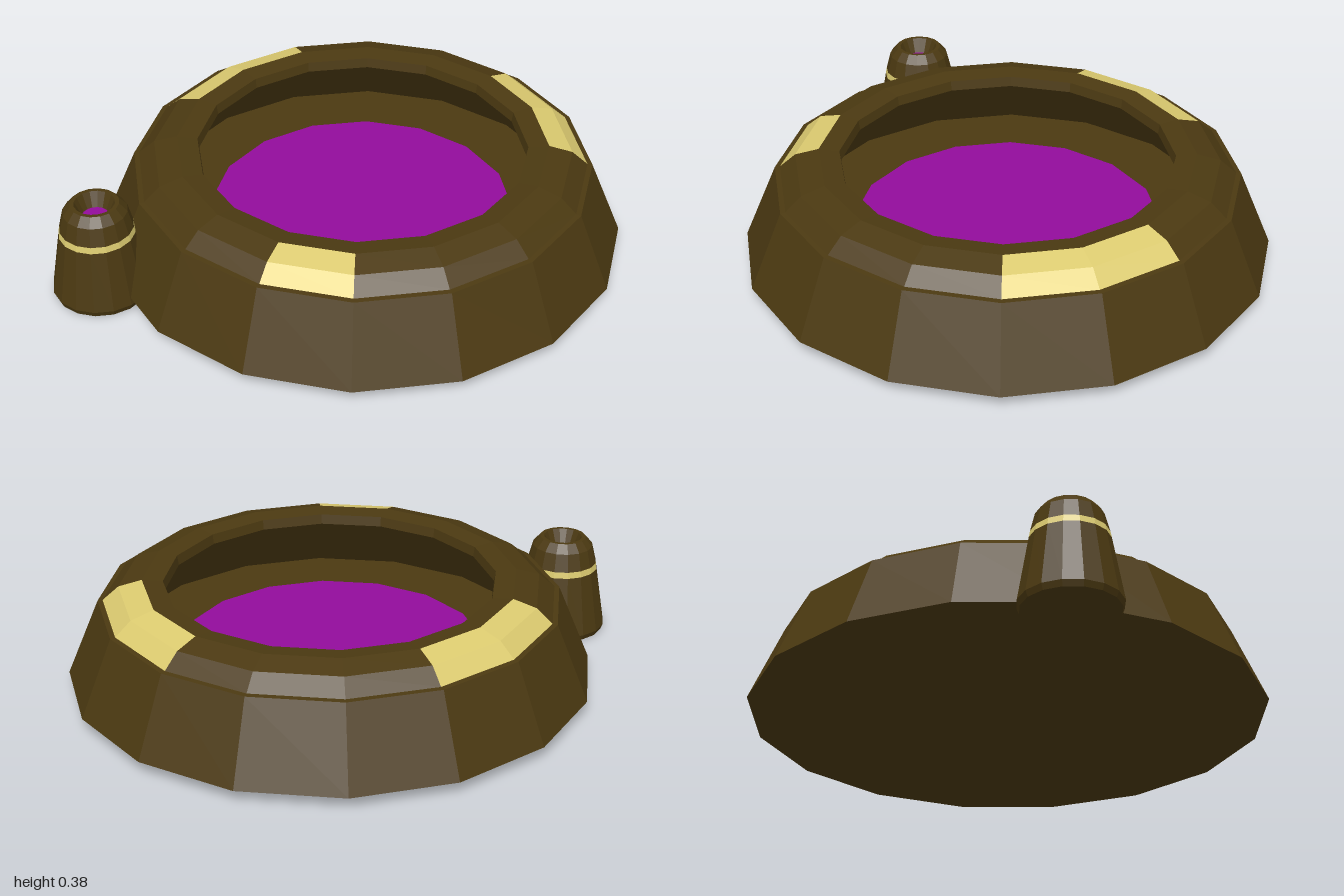
import * as THREE from 'three';

const SIDES = 16;
const STEP = (Math.PI * 2) / SIDES;

export function createModel() {
  const paint = (name, color) =>
    new THREE.MeshStandardMaterial({ name, color, flatShading: true });
  const brown = paint('dark brown', 0x4b3911);
  const gold = paint('pale gold', 0xdccb70);
  const purple = paint('purple', 0x920c9c);

  const model = new THREE.Group();
  model.name = 'bowlWithSideCup';

  // Revolves a [radius, y] profile between two of the sixteen side positions
  function turn(parent, name, profile, material, from = 0, to = SIDES) {
    const points = profile.map(([r, y]) => new THREE.Vector2(r, y));
    const geometry = new THREE.LatheGeometry(points, to - from, from * STEP, (to - from) * STEP);
    const mesh = new THREE.Mesh(geometry, material);
    mesh.name = name;
    parent.add(mesh);
  }

  // Wide bowl: sloping outer wall with a narrow ledge at the top
  const bowl = new THREE.Group();
  bowl.name = 'bowl';
  bowl.position.x = 0.1;
  model.add(bowl);
  turn(bowl, 'outerWall', [[0, 0.045], [0.9, 0.045], [0.787, 0.31], [0.77, 0.312]], brown);

  // Bevelled rim, alternating brown and gold stretches
  const bevel = [[0.77, 0.312], [0.715, 0.36], [0.635, 0.382]];
  const goldSpans = [[3, 5], [8, 10], [14, 15]];
  const brownSpans = [[5, 8], [10, 14], [15, 19]];
  goldSpans.forEach(([a, b]) => turn(bowl, 'rimInlay', bevel, gold, a, b));
  brownSpans.forEach(([a, b]) => turn(bowl, 'rimBevel', bevel, brown, a, b));

  // Rim lip, undercut inner wall and floor around the purple centre
  turn(bowl, 'innerWall', [[0.635, 0.382], [0.565, 0.375], [0.56, 0.34],
    [0.74, 0.125], [0.525, 0.125]], brown);
  turn(bowl, 'purpleFloor', [[0.525, 0.125], [0, 0.125]], purple);

  // Small tapered cup at the side, with a gold band and purple well
  const cup = new THREE.Group();
  cup.name = 'sideCup';
  cup.position.x = -0.835;
  model.add(cup);
  turn(cup, 'cupBody', [[0, 0], [0.157, 0], [0.165, 0.02], [0.128, 0.235]], brown);
  turn(cup, 'cupBand', [[0.128, 0.235], [0.124, 0.257]], gold);
  turn(cup, 'cupTop', [[0.124, 0.257], [0.108, 0.32], [0.082, 0.35],
    [0.068, 0.35], [0.045, 0.3]], brown);
  turn(cup, 'cupWell', [[0.045, 0.3], [0, 0.3]], purple);

  return model;
}
